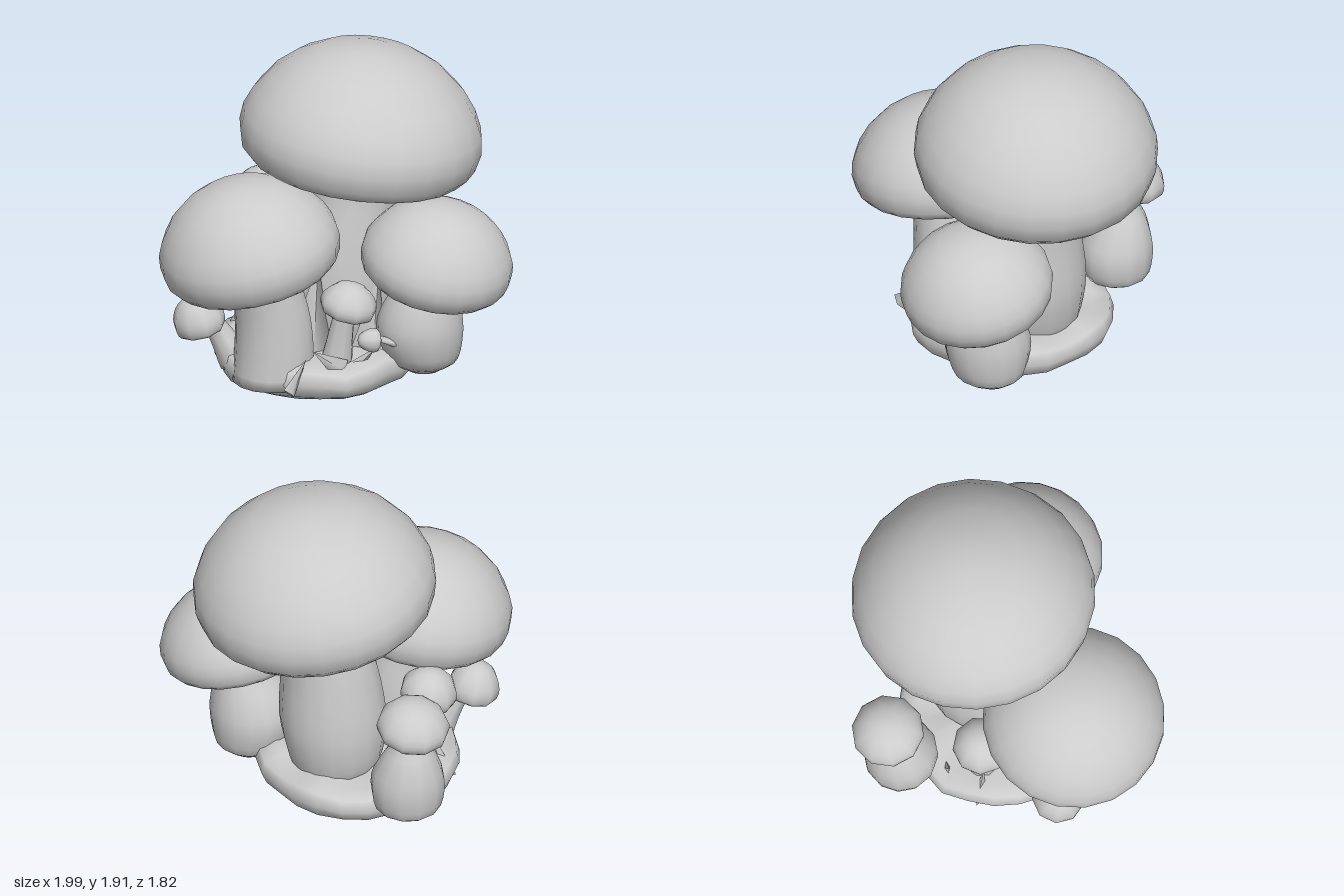
import * as THREE from 'three';
import { mergeVertices } from 'three/addons/utils/BufferGeometryUtils.js';

const material = new THREE.MeshStandardMaterial({ color: 0xcccccc, side: THREE.DoubleSide });

// Weld the lathe seam and smooth the normals.
function smooth(geometry) {
  geometry.deleteAttribute('uv');
  geometry.deleteAttribute('normal');
  const welded = mergeVertices(geometry, 1e-4);
  welded.computeVertexNormals();
  return welded;
}

function addMesh(parent, name, geometry) {
  const mesh = new THREE.Mesh(geometry, material);
  mesh.name = name;
  parent.add(mesh);
  return mesh;
}

// Domed cap with a rolled rim and hollow underside; unit rim radius.
const CAP = [[0, 0.24], [0.3, 0.23], [0.6, 0.15], [0.78, 0.04], [0.88, 0], [0.965, 0.09], [1, 0.24],
  [0.985, 0.38], [0.92, 0.53], [0.8, 0.7], [0.63, 0.85], [0.43, 0.96], [0.2, 1.02], [0, 1.035]];

function addCap(parent, name, [x, y, z], radius, [tiltX, tiltZ], height = 1, segments = 20) {
  const points = CAP.map(([r, h]) => new THREE.Vector2(r * radius, h * radius * height));
  const cap = addMesh(parent, name, smooth(new THREE.LatheGeometry(points, segments)));
  cap.position.set(x, y, z);
  cap.rotation.set(tiltX, 0, tiltZ);
}

// Swollen stem: horizontal rings [x, y, z, radius] from foot to neck, closed at the foot.
function addStem(parent, name, rings, segments = 16) {
  const path = new THREE.CatmullRomCurve3(rings.map(([x, y, z]) => new THREE.Vector3(x, y, z)));
  const widths = new THREE.SplineCurve(rings.map((r, i) => new THREE.Vector2(r[3], i)));
  const steps = (rings.length - 1) * 3;
  const centres = [path.getPoint(0)], profile = [new THREE.Vector2(0, rings[0][1])];
  for (let i = 0; i <= steps; i++) {
    const c = path.getPoint(i / steps);
    centres.push(c);
    profile.push(new THREE.Vector2(widths.getPoint(i / steps).x, c.y));
  }
  const geometry = new THREE.LatheGeometry(profile, segments);
  const p = geometry.attributes.position;
  for (let i = 0; i < p.count; i++) {
    const c = centres[i % profile.length];
    p.setXYZ(i, p.getX(i) + c.x, p.getY(i), p.getZ(i) + c.z);
  }
  addMesh(parent, name, smooth(geometry));
}

function addGroup(parent, name) {
  const group = new THREE.Group();
  group.name = name;
  parent.add(group);
  return group;
}

export function createModel() {
  const model = new THREE.Group();
  model.name = 'mushroomCluster';

  // Uneven earth mound with a flat bottom
  const moundProfile = [[0, 0], [0.5, 0], [0.55, 0.03], [0.58, 0.1], [0.56, 0.17], [0.47, 0.2], [0.25, 0.18], [0, 0.18]];
  const mound = new THREE.LatheGeometry(moundProfile.map(([r, y]) => new THREE.Vector2(r, y)), 24);
  const p = mound.attributes.position;
  for (let i = 0; i < p.count; i++) {
    const x = p.getX(i), y = p.getY(i), z = p.getZ(i), a = Math.atan2(z, x);
    const wave = 1 + 0.02 * Math.sin(a * 5) + 0.015 * Math.sin(a * 9 + 1);
    p.setXYZ(i, x * wave - 0.03, y * (1 + 0.1 * Math.sin(a * 7)), z * wave + 0.04);
  }
  addMesh(model, 'earthMound', smooth(mound));

  // Tallest mushroom
  const tall = addGroup(model, 'tallMushroom');
  addStem(tall, 'stem', [[0.14, 0.1, -0.03, 0.22], [0.14, 0.22, -0.03, 0.27], [0.15, 0.46, -0.02, 0.305],
    [0.17, 0.8, -0.01, 0.275], [0.22, 1.08, 0, 0.24], [0.25, 1.34, 0, 0.255]]);
  addCap(tall, 'cap', [0.23, 1.19, 0], 0.695, [0, -0.13], 1, 22);

  // Wide mushroom on the right side
  const wide = addGroup(model, 'wideMushroom');
  addStem(wide, 'stem', [[-0.36, 0.06, 0.27, 0.23], [-0.35, 0.25, 0.27, 0.225], [-0.36, 0.45, 0.27, 0.215],
    [-0.4, 0.65, 0.27, 0.205], [-0.45, 0.86, 0.27, 0.21]]);
  addCap(wide, 'cap', [-0.465, 0.725, 0.27], 0.52, [0, 0.21], 1.04);

  // Round-footed mushroom at the front left
  const round = addGroup(model, 'roundMushroom');
  addStem(round, 'stem', [[0.51, 0.05, 0.37, 0.1], [0.5, 0.12, 0.38, 0.2], [0.48, 0.3, 0.385, 0.248],
    [0.49, 0.46, 0.4, 0.22], [0.52, 0.6, 0.42, 0.165], [0.54, 0.75, 0.45, 0.16]]);
  addCap(round, 'cap', [0.535, 0.635, 0.455], 0.437, [0.21, -0.14], 1.02);

  // Bulbous mushroom at the back
  const back = addGroup(model, 'backMushroom');
  addStem(back, 'stem', [[-0.08, 0.14, -0.63, 0.11], [-0.08, 0.19, -0.62, 0.19], [-0.08, 0.36, -0.62, 0.212],
    [-0.08, 0.53, -0.645, 0.155], [-0.08, 0.66, -0.66, 0.085], [-0.08, 0.8, -0.68, 0.09]], 12);
  addCap(back, 'cap', [-0.08, 0.72, -0.69], 0.208, [-0.18, 0.04], 1, 10);
  addStem(back, 'root', [[-0.06, 0.1, -0.42, 0.08], [-0.07, 0.17, -0.48, 0.1], [-0.08, 0.28, -0.56, 0.1]], 8);

  // Little mushrooms sprouting between the big ones
  const sprouts = [
    { name: 'sideSprout', at: [-0.715, 0.32, 0.06], r: 0.15, tilt: [0, 0.25], h: 1.4,
      stem: [[-0.48, 0.08, 0.1, 0.13], [-0.55, 0.2, 0.09, 0.1], [-0.62, 0.32, 0.07, 0.075], [-0.69, 0.42, 0.06, 0.07]] },
    { name: 'frontSprout', at: [0.02, 0.49, 0.46], r: 0.165, tilt: [0.15, -0.2], h: 1.05,
      stem: [[-0.03, 0.12, 0.4, 0.1], [-0.01, 0.3, 0.42, 0.08], [0.02, 0.54, 0.45, 0.06]] },
    { name: 'backSprout', at: [-0.34, 0.59, -0.23], r: 0.165, tilt: [-0.2, 0.15], h: 1.15,
      stem: [[-0.28, 0.12, -0.2, 0.1], [-0.31, 0.35, -0.22, 0.08], [-0.34, 0.66, -0.23, 0.06]] },
    { name: 'tinySprout', at: [0.19, 0.31, 0.5], r: 0.07, tilt: [0.3, 1.4], h: 1.6,
      stem: [[0.36, 0.24, 0.46, 0.06], [0.27, 0.29, 0.49, 0.05], [0.17, 0.33, 0.5, 0.04]] },
  ];
  for (const s of sprouts) {
    const sprout = addGroup(model, s.name);
    addStem(sprout, 'stem', s.stem, 8);
    addCap(sprout, 'cap', s.at, s.r, s.tilt, s.h, 9);
  }

  // Pointed leaf litter: [x, y, z, length, yaw, lean]
  const litter = [[-0.12, 0.24, 0.54, 0.26, 0.3, 0.9], [-0.3, 0.17, 0.55, 0.22, 0.5, -0.7],
    [-0.54, 0.17, 0.28, 0.24, 1.6, 0.3], [0.1, 0.2, 0.5, 0.22, 0, -0.9], [-0.4, 0.2, -0.26, 0.28, 2.4, 0.3],
    [-0.24, 0.2, -0.4, 0.24, 2.9, -0.4], [0.24, 0.38, 0.27, 0.5, 0.2, -0.15], [-0.1, 0.42, 0.22, 0.6, 0.1, -0.1]];
  for (const [x, y, z, length, yaw, lean] of litter) {
    const leaf = addMesh(model, 'leafLitter', new THREE.ConeGeometry(length * 0.25, length, 4).scale(1, 1, 0.45));
    leaf.position.set(x, y, z);
    leaf.rotation.set(0, yaw, lean, 'YXZ');
  }
  return model;
}
